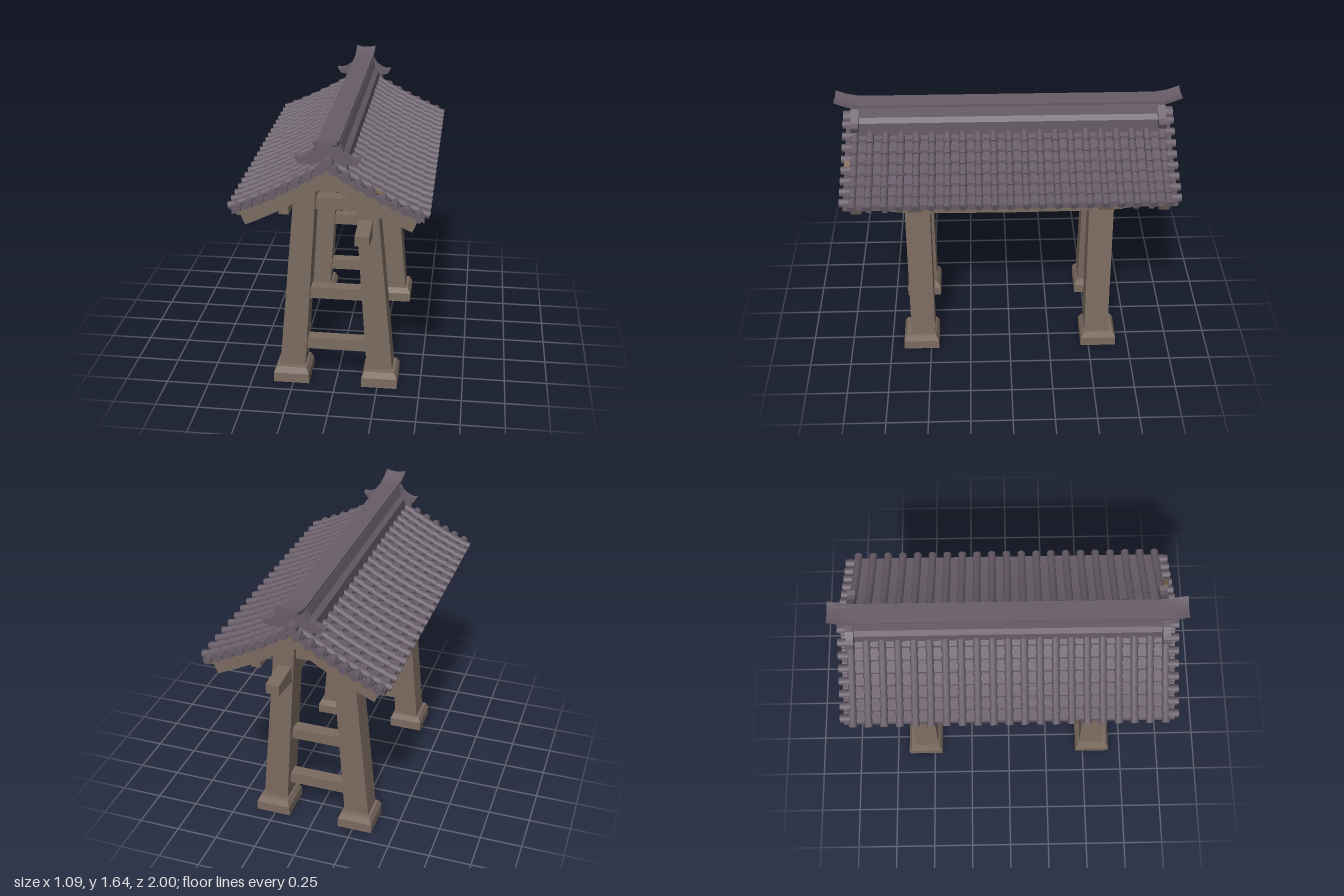
import * as THREE from 'three';
import { mergeGeometries } from 'three/addons/utils/BufferGeometryUtils.js';

const mat = (name, color) => {
  const m = new THREE.MeshStandardMaterial({ color });
  m.name = name;
  return m;
};

// Height of the roof boarding at distance x from the ridge
const roofY = (x) => 1.47 - 0.66 * x + 0.25 * x * x;

// Extrude a closed outline from z0 to z1
function extrude(points, z0, z1) {
  const shape = new THREE.Shape(points.map(([x, y]) => new THREE.Vector2(x, y)));
  return new THREE.ExtrudeGeometry(shape, { depth: z1 - z0, bevelEnabled: false }).translate(0, 0, z0);
}

// Outline mirrored about x = 0, from right-hand top and bottom edges that start at x = 0
function mirrored(top, bottom) {
  const flip = (pts) => pts.slice(1).map(([x, y]) => [-x, y]);
  return [...flip(top).reverse(), ...top, ...[...bottom].reverse(), ...flip(bottom)];
}

// Gabled layer following the roof curve between two offsets
function roofLayer(topOff, botOff, topEnd, botEnd, z0, z1) {
  const edge = (end, off) => Array.from({ length: 7 }, (_, i) => {
    const x = (end * i) / 6;
    return [x, roofY(x) + off];
  });
  return extrude(mirrored(edge(topEnd, topOff), edge(botEnd, botOff)), z0, z1);
}

// Box whose vertices are moved by a rule, with hard faces
function shapedBox(w, h, d, segs, rule) {
  const g = new THREE.BoxGeometry(w, h, d, ...segs);
  const p = g.attributes.position;
  const v = new THREE.Vector3();
  for (let i = 0; i < p.count; i++) {
    rule(v.fromBufferAttribute(p, i));
    p.setXYZ(i, v.x, v.y, v.z);
  }
  const flat = g.toNonIndexed();
  flat.computeVertexNormals();
  return flat;
}

export function createModel() {
  const group = new THREE.Group();
  group.name = 'roofedGate';
  const wood = mat('weathered wood', 0x7b6b60);
  const tile = mat('purple grey tile', 0x685d68);
  const patch = mat('bare tan patch', 0x7a664f);
  const add = (name, geometry, material) => {
    const mesh = new THREE.Mesh(geometry, material);
    mesh.name = name;
    group.add(mesh);
    return mesh;
  };

  for (const sz of [1, -1]) {
    const z = sz * 0.547;
    for (const sx of [1, -1]) {
      // Leaning, tapering post
      add('post', shapedBox(1, 1, 0.148, [1, 1, 1], (v) => {
        const up = v.y > 0;
        v.x = sx * (up ? 0.163 : 0.263) + v.x * (up ? 0.12 : 0.152);
        v.y = up ? 1.32 : 0.05;
        v.z += z;
      }), wood);
      // Footing with a sloped shoulder
      add('footing', shapedBox(0.21, 0.1, 0.22, [1, 2, 1], (v) => {
        const s = v.y > 0.01 ? 0.84 : 1;
        v.x = sx * 0.262 + v.x * s;
        v.z = sz * 0.56 + v.z * s;
        v.y = v.y > 0.01 ? 0.1 : v.y < -0.01 ? 0.005 : 0.065;
      }), wood);
    }
    // Two rungs between the posts
    for (const [y, half] of [[0.232, 0.22], [0.568, 0.2]]) {
      add('rung', new THREE.BoxGeometry(half * 2, 0.07, 0.075).translate(0, y, z), wood);
    }
    // Upper crossbeam with tapered ends
    add('crossbeam', extrude(mirrored(
      [[0, 1.17], [0.26, 1.165], [0.45, 1.165]],
      [[0, 1.1], [0.25, 1.095], [0.43, 1.118]]), z - 0.04, z + 0.04), wood);
  }

  // Long tie beam on one side, tapered at both ends
  const tie = extrude(mirrored(
    [[0, 1.055], [0.6, 1.06], [0.815, 1.045]],
    [[0, 0.95], [0.6, 0.955], [0.815, 0.985]]), -0.04, 0.04);
  add('tieBeam', tie.rotateY(Math.PI / 2).translate(0.172, 0, 0), wood);

  // Purlins under the eaves
  for (const sx of [1, -1]) {
    add('purlin', new THREE.BoxGeometry(0.055, 0.09, 1.7).translate(sx * 0.25, 1.215, 0), wood);
  }

  // Boarding, rafters and gable boards
  add('roofBoarding', roofLayer(0.004, -0.03, 0.5, 0.49, -0.91, 0.91), wood);
  const rafters = [];
  for (let i = 0; i < 19; i++) {
    const z = (i - 9) * 0.0895;
    rafters.push(roofLayer(-0.02, -0.072, 0.475, 0.465, z - 0.014, z + 0.014));
  }
  add('rafters', mergeGeometries(rafters), wood);
  for (const sz of [1, -1]) {
    add('gableBoard', roofLayer(0, -0.098, 0.485, 0.45, sz * 0.88 - 0.03, sz * 0.88 + 0.03), wood);
  }

  // Stepped courses of flat tiles
  const courses = 8, step = 0.515 / courses;
  const top = [[0, roofY(0) + 0.03]], bottom = [[0, roofY(0)]];
  for (let i = 0; i < courses; i++) {
    const x0 = i * step, x1 = x0 + step;
    if (i > 0) top.push([x0 + 0.001, roofY(x0) + 0.018]);
    top.push([x1, roofY(x1) + 0.036]);
    bottom.push([x1, roofY(x1)]);
  }
  add('flatTiles', extrude(mirrored(top, bottom), -0.945, 0.945), tile);

  // Rows of rounded cover tiles, each flaring toward the eave
  const covers = [], verge = [];
  for (const sx of [1, -1]) {
    for (let c = 0; c < courses; c++) {
      const x0 = 0.012 + c * step, x1 = x0 + step + 0.012;
      const y0 = roofY(x0) + 0.03, y1 = roofY(x1) + 0.036;
      const len = Math.hypot(x1 - x0, y1 - y0);
      for (let r = 0; r < 21; r++) {
        const g = new THREE.CylinderGeometry(0.019, 0.024, len, 10);
        g.rotateZ(sx * Math.atan2(x1 - x0, y0 - y1));
        // the narrow end faces the ridge
        g.translate(sx * (x0 + x1) / 2, (y0 + y1) / 2, (r - 10) * 0.0892);
        covers.push(g);
      }
      // Short tiles across the gable edge
      for (const sz of [1, -1]) {
        const x = 0.035 + c * step;
        const g = new THREE.CylinderGeometry(0.024, 0.024, 0.08, 10).rotateX(Math.PI / 2);
        verge.push(g.translate(sx * x, roofY(x) + 0.024, sz * 0.925));
      }
    }
  }
  add('coverTiles', mergeGeometries(covers), tile);
  add('gableEdgeTiles', mergeGeometries(verge), tile);

  // Bare patch near one gable edge
  const patchAt = new THREE.BoxGeometry(0.06, 0.006, 0.035).rotateZ(-0.5);
  add('barePatch', patchAt.translate(0.28, roofY(0.28) + 0.045, 0.929), patch);

  // Ridge wall with a sloped skirt
  add('ridge', extrude(mirrored(
    [[0, 1.595], [0.062, 1.595], [0.075, 1.54], [0.1, 1.515]],
    [[0, 1.45], [0.1, 1.42]]), -0.885, 0.885), tile);

  // Ridge cap, dished and upturned at the ends
  add('ridgeCap', shapedBox(0.118, 0.026, 2, [4, 1, 28], (v) => {
    const e = Math.max(0, (Math.abs(v.z) - 0.86) / 0.14);
    if (v.y < 0) v.y += 0.01 * e;
    v.y += 1.597 + 0.026 * e * e + 3 * e * v.x * v.x;
    v.x *= 1 + 0.06 * e;
  }), tile);

  // Winged ornaments closing the ridge
  for (const sz of [1, -1]) {
    add('ridgeOrnament', extrude(mirrored(
      [[0, 1.597], [0.065, 1.59], [0.085, 1.555], [0.12, 1.53], [0.15, 1.52], [0.178, 1.525]],
      [[0, 1.51], [0.06, 1.5], [0.12, 1.482], [0.158, 1.49]]), sz * 0.885 - 0.022, sz * 0.885 + 0.022), tile);
    const boss = new THREE.CylinderGeometry(0.035, 0.035, 0.09, 12).rotateX(Math.PI / 2);
    add('ridgeEndTile', boss.translate(0, 1.505, sz * 0.915), tile);
  }

  return group;
}
